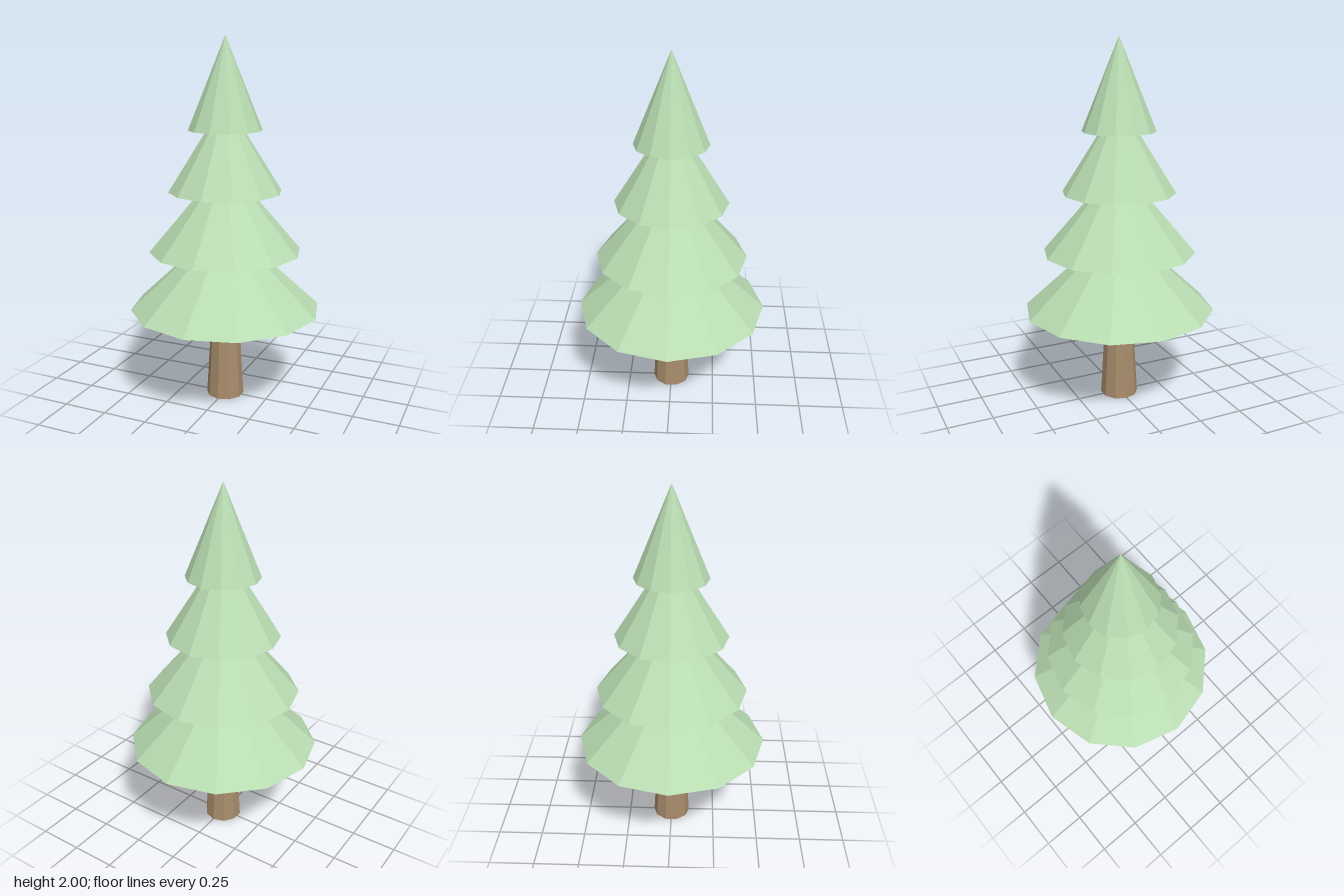
import * as THREE from 'three';

export function createModel() {
  const tree = new THREE.Group();
  tree.name = 'tree';

  const bark = new THREE.MeshStandardMaterial({ color: 0xa88c6c, flatShading: true });
  const needles = new THREE.MeshStandardMaterial({ color: 0xb9dcb2, flatShading: true });

  // Tapered ten-sided trunk, its top tucked inside the lowest tier
  const trunkHeight = 0.55;
  const trunk = new THREE.Mesh(new THREE.CylinderGeometry(0.073, 0.105, trunkHeight, 10), bark);
  trunk.name = 'trunk';
  trunk.position.y = trunkHeight / 2;
  tree.add(trunk);

  // Four equally tall cones, each narrower than the one below
  const tiers = 4;
  const tierHeight = 0.49;
  for (let i = 0; i < tiers; i++) {
    const radius = THREE.MathUtils.lerp(0.527, 0.2, i / (tiers - 1));
    const tier = new THREE.Mesh(new THREE.ConeGeometry(radius, tierHeight, 12), needles);
    tier.name = `foliageTier${i + 1}`;
    tier.position.y = 0.52 + i * 0.33 + tierHeight / 2;
    tree.add(tier);
  }

  return tree;
}
